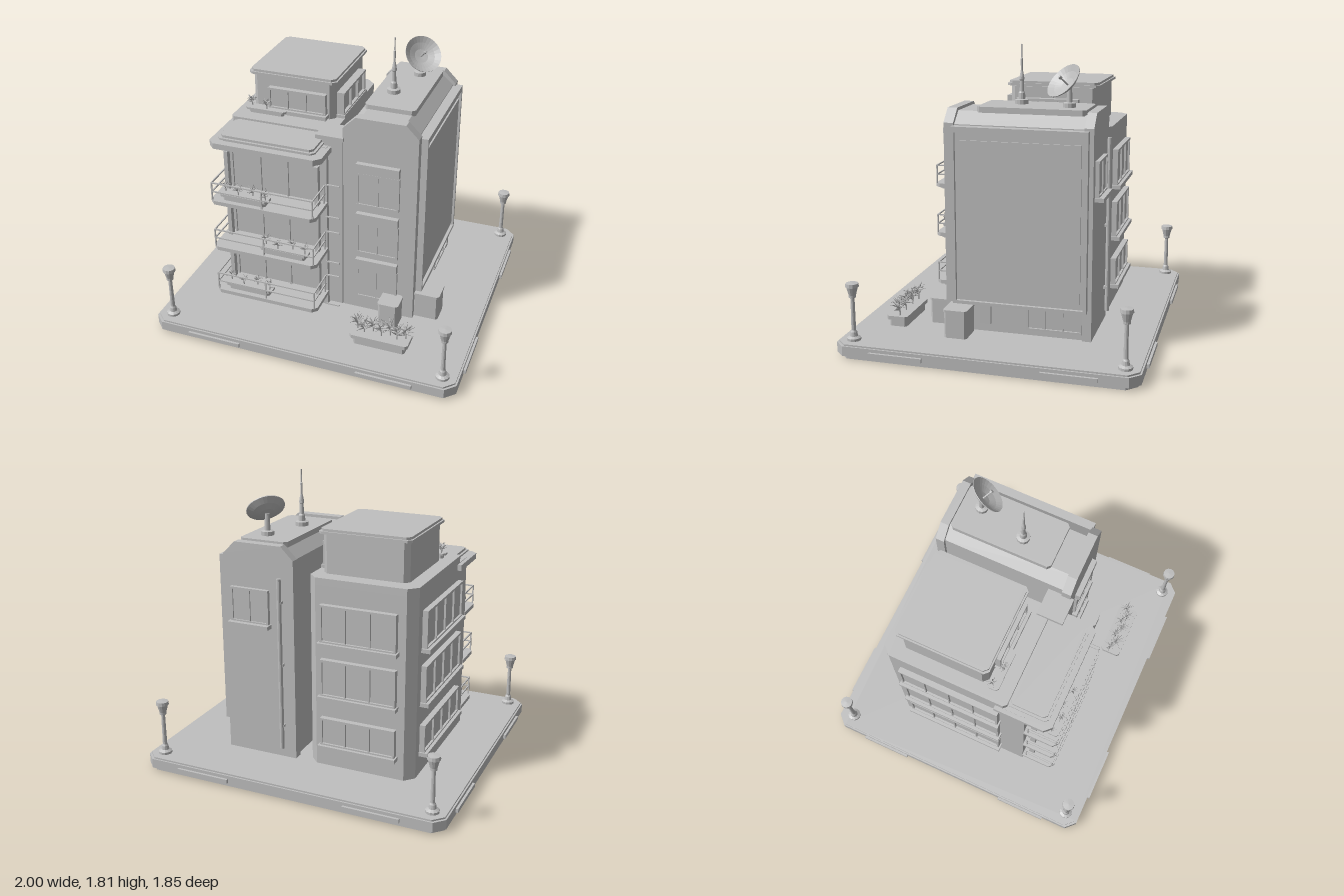
import * as THREE from 'three';
import { mergeGeometries } from 'three/addons/utils/BufferGeometryUtils.js';

export function createModel() {
  const root = new THREE.Group();
  const mat = new THREE.MeshStandardMaterial({ color: 0xbfbfbf, flatShading: true });
  mat.name = 'concrete grey';

  const add = (name, geo, parent = root) => {
    const m = new THREE.Mesh(geo, mat);
    m.name = name;
    parent.add(m);
    return m;
  };
  const group = (name, x = 0, y = 0, z = 0, ry = 0) => {
    const g = new THREE.Group();
    g.name = name;
    g.position.set(x, y, z);
    g.rotation.y = ry;
    root.add(g);
    return g;
  };
  // box given by its extents
  const box = (name, x0, x1, y0, y1, z0, z1, parent = root) => {
    const geo = new THREE.BoxGeometry(x1 - x0, y1 - y0, z1 - z0);
    geo.translate((x0 + x1) / 2, (y0 + y1) / 2, (z0 + z1) / 2);
    return add(name, geo, parent);
  };
  // horizontal slab with cut corners: cb at the back (-z), cf at the front (+z)
  const slab = (name, x0, x1, y0, y1, z0, z1, cb, cf = cb, parent = root) => {
    const pts = [[x0 + cf, -z1], [x1 - cf, -z1], [x1, -z1 + cf], [x1, -z0 - cb],
      [x1 - cb, -z0], [x0 + cb, -z0], [x0, -z0 - cb], [x0, -z1 + cf]];
    const s = new THREE.Shape(pts.map(p => new THREE.Vector2(...p)));
    const geo = new THREE.ExtrudeGeometry(s, { depth: y1 - y0, bevelEnabled: false });
    geo.rotateX(-Math.PI / 2).translate(0, y0, 0);
    return add(name, geo, parent);
  };
  const turned = (name, profile, x, y, z, sides = 12, parent = root) => {
    const m = add(name, new THREE.LatheGeometry(profile.map(p => new THREE.Vector2(...p)), sides), parent);
    m.position.set(x, y, z);
    return m;
  };

  // framed window facing +z, centred on its group, with mullions and sill
  const windowUnit = (name, x, y, z, ry, w, h, panes, d = 0.035, sill = 0.055) => {
    const g = group(name, x, y, z, ry), t = 0.014;
    box('glass', -w / 2, w / 2, -h / 2, h / 2, 0, d * 0.6, g);
    box('frameTop', -w / 2, w / 2, h / 2 - t, h / 2, 0, d, g);
    box('frameBottom', -w / 2, w / 2, -h / 2, -h / 2 + t, 0, d, g);
    for (let i = 0; i <= panes; i++) {
      const e = i === 0 || i === panes ? t : t * 0.6;
      const c = -w / 2 + t / 2 + (w - t) * i / panes;
      box('mullion', c - e / 2, c + e / 2, -h / 2, h / 2, 0, d * 0.95, g);
    }
    if (sill) box('sill', -w / 2 - 0.01, w / 2 + 0.01, -h / 2 - 0.02, -h / 2 + 0.005, 0, sill, g);
  };

  // base platform with edge panels
  slab('baseFoot', -0.97, 0.97, 0, 0.02, -0.89, 0.89, 0.06);
  slab('basePlatform', -0.985, 0.985, 0.02, 0.08, -0.91, 0.91, 0.06);
  slab('baseTop', -0.975, 0.975, 0.08, 0.09, -0.9, 0.9, 0.06);
  for (const s of [-1, 1]) {
    const c = 0.555 * s;
    box('edgePanel', c - 0.175, c + 0.175, 0.035, 0.06, -0.925, 0.925);
    const z = 0.515 * s;
    box('edgePanel', -1, 1, 0.035, 0.06, z - 0.165, z + 0.165);
  }

  // corner lamps
  for (const x of [-0.89, 0.89]) for (const z of [-0.815, 0.815]) {
    turned('lamp', [[0, 0], [0.042, 0], [0.042, 0.015], [0.024, 0.025], [0.02, 0.05], [0.014, 0.06],
      [0.012, 0.26], [0.022, 0.265], [0.022, 0.28], [0.035, 0.33], [0.04, 0.33], [0.038, 0.352], [0, 0.355]],
    x, 0.09, z);
  }

  // residential block
  slab('blockBody', -0.67, 0.01, 0.09, 1.24, -0.55, 0.39, 0.055, 0);
  slab('blockLedge', -0.67, 0.01, 1.24, 1.285, -0.55, 0.27, 0.055, 0.02);
  slab('blockCanopy', -0.695, 0.03, 1.2, 1.237, 0.2, 0.56, 0, 0.04);
  slab('canopyPanel', -0.63, -0.03, 1.237, 1.275, 0.275, 0.51, 0.02);
  slab('canopyPanelLip', -0.645, -0.015, 1.25, 1.26, 0.26, 0.525, 0.02);

  // penthouse
  slab('penthouse', -0.585, -0.045, 1.285, 1.52, -0.45, 0.11, 0.03);
  slab('penthouseRoofEdge', -0.605, -0.025, 1.525, 1.54, -0.47, 0.13, 0.025);
  slab('penthouseRoofSoffit', -0.575, -0.055, 1.51, 1.525, -0.44, 0.1, 0.02);
  slab('penthouseRoof', -0.595, -0.035, 1.54, 1.555, -0.46, 0.12, 0.025);
  windowUnit('penthouseFrontWindow', -0.28, 1.385, 0.11, 0, 0.38, 0.14, 3);
  windowUnit('penthouseSideWindow', -0.045, 1.375, -0.14, Math.PI / 2, 0.4, 0.15, 3, 0.05);

  // windows on each storey of the block
  [0.325, 0.675, 1.015].forEach((y, i) => {
    const h = i ? 0.235 : 0.18;
    windowUnit('sideWindow', -0.67, y, -0.105, -Math.PI / 2, 0.66, h, 4);
    windowUnit('backWindow', -0.325, y, -0.55, Math.PI, 0.48, h, 3);
  });

  // pot plants
  let seed = 7;
  const rnd = () => (seed = (seed * 16807) % 2147483647) / 2147483647;
  const plant = (x, y, z, s) => {
    const parts = [new THREE.CylinderGeometry(0.004, 0.005, s * 0.6, 5).translate(0, s * 0.3, 0)];
    for (let i = 0; i < 18; i++) {
      const leaf = new THREE.ConeGeometry(s * 0.07, s * 0.5, 4).scale(1, 1, 0.35);
      leaf.translate(0, s * 0.22, 0).rotateZ(0.3 + rnd() * 1.3).rotateY(i * 2.4);
      parts.push(leaf.translate(0, s * (0.25 + 0.3 * rnd()), 0));
    }
    add('plant', mergeGeometries(parts)).position.set(x, y, z);
  };
  const planter = (x0, x1, y, h, z0, z1, plants, size) => {
    slab('planterFoot', x0 + 0.02, x1 - 0.02, y, y + h * 0.7, z0 + 0.012, z1 - 0.012, 0.012);
    slab('planterRim', x0, x1, y + h * 0.65, y + h, z0, z1, 0.015);
    plants.forEach((px, i) => plant(px, y + h, (z0 + z1) / 2 + (i % 2 ? 0.012 : -0.012), size));
  };

  // balconies with glazing, corner posts, rails and planters
  const bottoms = [0.165, 0.495, 0.83], tops = [0.47, 0.81, 1.135], r = 0.004;
  bottoms.forEach((y, i) => {
    slab('balconySlab', -0.675, 0.015, y + 0.012, y + 0.037, 0.39, 0.615, 0, 0.03);
    slab('balconyUnderside', -0.655, -0.005, y, y + 0.012, 0.39, 0.595, 0, 0.03);
    const floor = y + 0.037, rail = floor + 0.12;
    for (const x of [-0.64, -0.045]) box('balconyPost', x, x + 0.025, floor, tops[i], 0.425, 0.46);
    box('balconyGlazing', -0.61, -0.05, floor, tops[i], 0.39, 0.4);
    for (const x of [-0.61, -0.42, -0.24, -0.06]) box('glazingBar', x - 0.006, x + 0.006, floor, tops[i], 0.4, 0.412);
    box('glazingHead', -0.62, -0.045, tops[i] - 0.012, tops[i], 0.39, 0.415);
    for (const h of [rail, floor + 0.06]) {
      box('frontRail', -0.66, 0, h - r, h + r, 0.6, 0.608);
      for (const x of [-0.66, 0]) box('sideRail', x - r, x + r, h - r, h + r, 0.4, 0.605);
    }
    box('linkRail', 0, 0.09, rail - r, rail + r, 0.385, 0.395);
    box('linkRail', 0, 0.09, rail - 0.23, rail - 0.222, 0.385, 0.395);
    for (const x of [-0.66, -0.33, 0]) box('railPost', x - r, x + r, floor, rail, 0.6, 0.608);
    for (const x of [-0.66, 0]) box('railPost', x - r, x + r, floor, rail, 0.41, 0.418);
    if (i === 1) planter(-0.365, -0.05, floor, 0.045, 0.515, 0.595, [-0.34, -0.25, -0.16, -0.07], 0.085);
    else planter(-0.62, -0.3, floor, 0.045, 0.515, 0.595, [-0.595, -0.5, -0.415, -0.32], 0.085);
  });
  planter(-0.61, -0.34, 1.285, 0.035, 0.12, 0.19, [-0.58, -0.47], 0.085);
  planter(0.27, 0.64, 0.09, 0.07, 0.58, 0.715, [0.3, 0.35, 0.4, 0.46, 0.51, 0.56, 0.61], 0.13);

  // link shaft between block and tower
  box('linkShaft', -0.06, 0.1, 0.1, 1.28, 0.2, 0.36);
  box('linkShaftCap', -0.07, 0.105, 1.28, 1.305, 0.195, 0.365);

  // tower: chamfered gable profile, taller at both end walls
  const towerPart = (name, inset, z0, z1) => {
    const a = 0.095 + inset, b = 0.565 - inset, t = 1.445 - inset;
    const s = new THREE.Shape([[a, 0.09], [b, 0.09], [b, 1.365 - inset / 2], [b - 0.08, t], [a + 0.08, t],
      [a, 1.365 - inset / 2]].map(p => new THREE.Vector2(...p)));
    add(name, new THREE.ExtrudeGeometry(s, { depth: z1 - z0, bevelEnabled: false }).translate(0, 0, z0));
  };
  towerPart('towerBody', 0.018, -0.51, 0.3);
  towerPart('towerFrontWall', 0, 0.285, 0.345);
  towerPart('towerBackWall', 0, -0.555, -0.5);
  slab('towerRoofPlate', 0.17, 0.485, 1.42, 1.455, -0.49, 0.17, 0.02);

  // large panel on the tower side with a raised border
  box('sidePanel', 0.54, 0.585, 0.28, 1.32, -0.53, 0.29);
  box('sidePanelTop', 0.54, 0.605, 1.315, 1.35, -0.53, 0.29);
  box('sidePanelBottom', 0.54, 0.605, 0.27, 0.29, -0.53, 0.29);
  for (const z of [-0.53, 0.27]) box('sidePanelEdge', 0.54, 0.605, 0.28, 1.32, z, z + 0.02);
  box('sidePanelField', 0.58, 0.595, 0.325, 1.27, -0.49, 0.265);
  windowUnit('sideEntrance', 0.545, 0.215, -0.33, Math.PI / 2, 0.34, 0.17, 3, 0.03, 0);
  box('sideVent', 0.54, 0.565, 0.14, 0.26, 0.065, 0.135);

  // tower front windows with awning boxes
  for (const y of [0.185, 0.52, 0.865]) {
    windowUnit('towerFrontWindow', 0.325, y + 0.113, 0.345, 0, 0.27, 0.225, 2, 0.018, 0);
    box('towerAwning', 0.19, 0.46, y + 0.235, y + 0.295, 0.345, 0.378);
  }
  windowUnit('towerBackWindow', 0.383, 1.06, -0.555, Math.PI, 0.255, 0.22, 2, 0.025, 0.055);
  const pipe = add('drainPipe', new THREE.CylinderGeometry(0.014, 0.014, 1.1, 10));
  pipe.position.set(0.18, 0.705, -0.577);
  for (const y of [0.3, 0.7, 1.1]) box('pipeClip', 0.165, 0.195, y, y + 0.015, -0.58, -0.55);

  // utility boxes on the ground
  const utilityBox = (x0, x1, z0, z1, top) => {
    slab('utilityBox', x0 + 0.005, x1 - 0.005, 0.09, top - 0.015, z0 + 0.005, z1 - 0.005, 0.012);
    slab('utilityBoxLid', x0, x1, top - 0.015, top, z0, z1, 0.015);
  };
  utilityBox(0.55, 0.725, 0.165, 0.315, 0.265);
  utilityBox(0.37, 0.505, 0.345, 0.48, 0.25);

  // antenna
  turned('antenna', [[0, 0], [0.042, 0], [0.042, 0.025], [0.022, 0.03], [0.02, 0.065], [0.014, 0.075], [0.012, 0.14],
    [0.016, 0.145], [0.014, 0.165], [0.007, 0.2], [0.007, 0.27], [0.004, 0.275], [0.004, 0.355], [0, 0.357]],
  0.283, 1.455, -0.055);

  // satellite dish on a pedestal, tilted up towards the front
  turned('dishPedestal', [[0, 0], [0.04, 0], [0.04, 0.025], [0.018, 0.03], [0.014, 0.13], [0, 0.13]], 0.36, 1.455, -0.365);
  const dish = group('satelliteDish', 0.365, 1.585, -0.355);
  dish.quaternion.setFromUnitVectors(new THREE.Vector3(0, 1, 0), new THREE.Vector3(0.8, 1, 0.8).normalize());
  turned('dishBowl', [[0, -0.008], [0.045, -0.002], [0.085, 0.014], [0.12, 0.038], [0.12, 0.043],
    [0.085, 0.022], [0.045, 0.006], [0, 0]], 0, 0, 0, 28, dish);
  turned('dishFeed', [[0, 0], [0.005, 0], [0.005, 0.06], [0.01, 0.062], [0.01, 0.078], [0, 0.08]], 0, 0, 0, 8, dish);

  return root;
}
